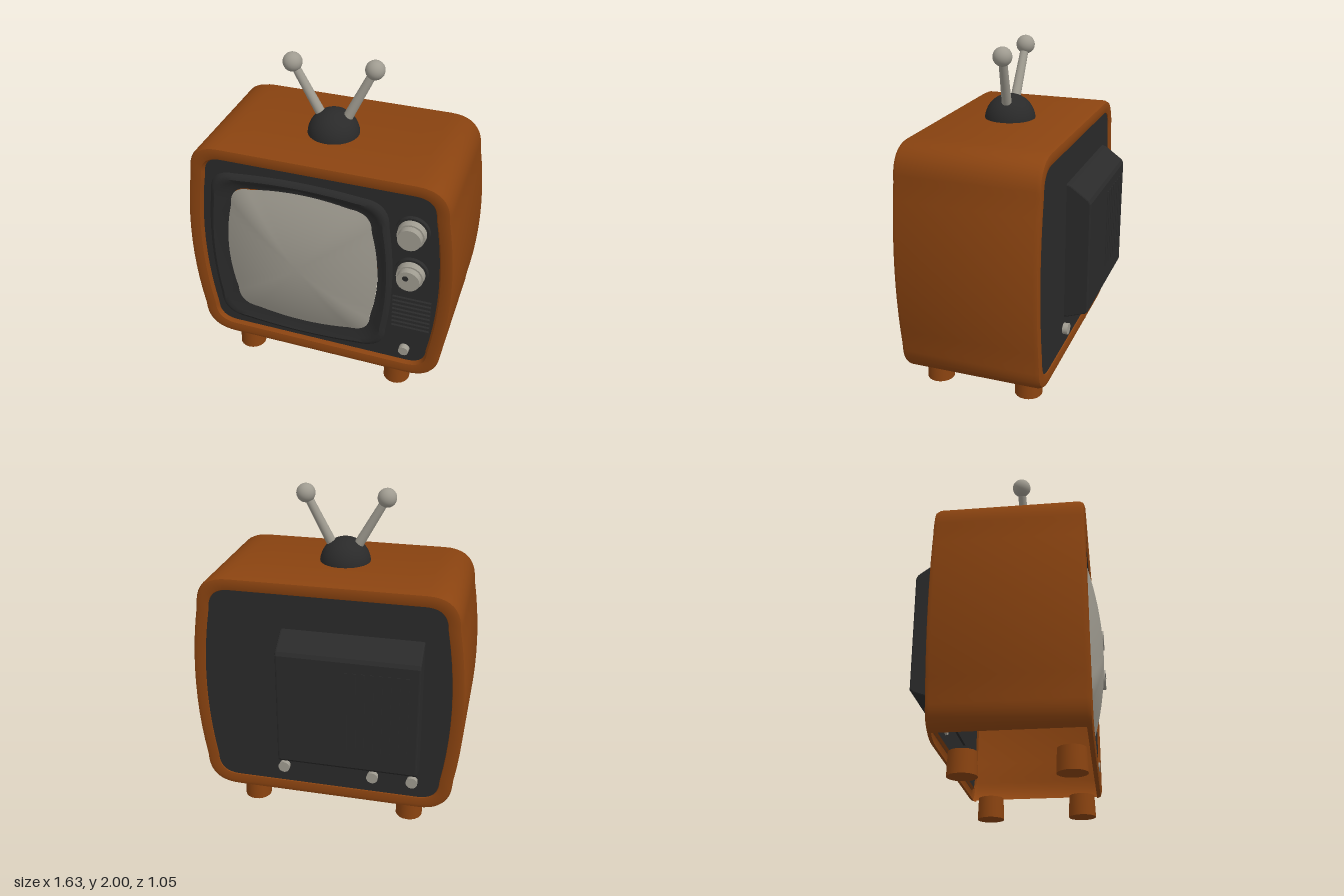
import * as THREE from 'three';
import { toCreasedNormals } from 'three/addons/utils/BufferGeometryUtils.js';

const mat = (name, color) => new THREE.MeshStandardMaterial({ name, color, side: THREE.DoubleSide });

// Rounded rectangle whose sides (bx) and top/bottom (by) bow outward
function outline(cx, cy, hw, hh, r, bx = 0, by = 0) {
  const s = new THREE.Shape();
  const x = hw - bx, y = hh - by; // corner position, before bowing
  s.moveTo(cx - x + r, cy - y);
  s.quadraticCurveTo(cx, cy - y - 2 * by, cx + x - r, cy - y);
  s.quadraticCurveTo(cx + x, cy - y, cx + x, cy - y + r);
  s.quadraticCurveTo(cx + x + 2 * bx, cy, cx + x, cy + y - r);
  s.quadraticCurveTo(cx + x, cy + y, cx + x - r, cy + y);
  s.quadraticCurveTo(cx, cy + y + 2 * by, cx - x + r, cy + y);
  s.quadraticCurveTo(cx - x, cy + y, cx - x, cy + y - r);
  s.quadraticCurveTo(cx - x - 2 * bx, cy, cx - x, cy - y + r);
  s.quadraticCurveTo(cx - x, cy - y, cx - x + r, cy - y);
  return s.getPoints(10);
}

// Skin between outlines [points, z]; skip(j, y) leaves out a quad
function loft(rings, skip = () => false, crease = 0.7) {
  const pos = [], idx = [], n = rings[0][0].length;
  rings.forEach(([pts, z]) => pts.forEach(p => pos.push(p.x, p.y, z)));
  for (let j = 0; j < rings.length - 1; j++) {
    for (let i = 0; i < n; i++) {
      const k = (i + 1) % n, a = j * n + i, b = j * n + k, c = b + n, d = a + n;
      if (skip(j, Math.max(pos[a * 3 + 1], pos[b * 3 + 1]))) continue;
      idx.push(a, b, c, a, c, d);
    }
  }
  const g = new THREE.BufferGeometry();
  g.setAttribute('position', new THREE.Float32BufferAttribute(pos, 3));
  g.setIndex(idx);
  return toCreasedNormals(g, crease);
}

export function createModel() {
  const root = new THREE.Group();
  root.name = 'television';
  const brown = mat('brown casing', 0x8a4310);
  const dark = mat('dark plastic', 0x2a2a2a);
  const grey = mat('warm grey', 0x9f9b90);

  const add = (name, geo, material, x = 0, y = 0, z = 0, parent = root) => {
    const m = new THREE.Mesh(geo, material);
    m.name = name;
    m.position.set(x, y, z);
    parent.add(m);
    return m;
  };

  // Cabinet shell with rounded front and back rims, open underneath
  const body = d => outline(0, 0.843, 0.815 - d, 0.698 - d, 0.2 - d * 0.9, 0.045);
  const cabinet = loft([
    [body(0.085), -0.36], [body(0.075), -0.38], [body(0.035), -0.39], [body(0.01), -0.382],
    [body(0), -0.36], [body(0), 0.43],
    [body(0.01), 0.452], [body(0.035), 0.46], [body(0.075), 0.45], [body(0.09), 0.42],
  ], (j, y) => j === 4 && y < 0.195);
  add('cabinet', cabinet, brown);

  // Front panel with an opening for the screen surround
  const surround = d => outline(-0.115, 0.83, 0.57 - d, 0.565 - d * 0.95, 0.16, 0.03, 0.02);
  const panel = new THREE.Shape(body(0.08));
  panel.holes.push(new THREE.Path(surround(0)));
  add('frontPanel', new THREE.ShapeGeometry(panel), dark, 0, 0, 0.425);

  // Raised screen surround and bulging screen
  const glass = s => outline(-0.1, 0.845, 0.468 * s, 0.475 * s, 0.13 * s, 0.04 * s, 0.03 * s);
  add('screenSurround', loft([
    [surround(0), 0.425], [surround(0.012), 0.444], [surround(0.03), 0.452],
    [surround(0.05), 0.444], [glass(1.04), 0.432], [glass(1), 0.428],
  ]), dark);
  const screenRings = [];
  for (let i = 0; i <= 10; i++) {
    const s = Math.max(1 - i / 10, 0.001);
    screenRings.push([glass(s), 0.435 + 0.085 * (1 - s * s)]);
  }
  add('screen', loft(screenRings, undefined, 1.2), grey);

  // Two tuning knobs with stepped caps
  const disc = (r, depth) => new THREE.CylinderGeometry(r * 0.95, r, depth, 32).rotateX(Math.PI / 2);
  [[0.56, 1.22], [0.567, 0.935]].forEach(([x, y], i) => {
    const knob = new THREE.Group();
    knob.name = i ? 'lowerKnob' : 'upperKnob';
    root.add(knob);
    add('knobSeat', disc(0.1, 0.03), dark, x, y, 0.43, knob);
    add('knobBase', disc(0.083, 0.045), grey, x, y, 0.462, knob);
    add('knobCap', disc(0.07, 0.045), grey, x, y, 0.4985, knob);
    if (i) add('knobMark', disc(0.018, 0.006), dark, x - 0.015, y + 0.02, 0.521, knob);
  });
  add('powerButton', disc(0.032, 0.04), grey, 0.55, 0.33, 0.44);

  // Speaker grille slats
  for (let i = 0; i < 8; i++) {
    add('grilleSlat', new THREE.BoxGeometry(0.23, 0.017, 0.02), dark, 0.578, 0.5 + i * 0.032, 0.43);
  }

  // Back panel and the tube housing with sloped top and bottom
  add('backPanel', new THREE.ShapeGeometry(new THREE.Shape(body(0.075))), dark, 0, 0, -0.375);
  const housing = new THREE.Shape([
    [0.36, 0.41], [0.4, 0.415], [0.505, 0.452], [0.52, 0.47],
    [0.52, 1.15], [0.508, 1.172], [0.4, 1.25], [0.36, 1.26],
  ].map(p => new THREE.Vector2(...p)));
  const housingGeo = new THREE.ExtrudeGeometry(housing, {
    depth: 0.81, bevelSize: 0.008, bevelThickness: 0.01, bevelSegments: 2, bevelOffset: -0.008,
  }).rotateY(Math.PI / 2).translate(-0.56, 0, 0);
  add('tubeHousing', housingGeo, dark);
  for (let i = 0; i < 8; i++) {
    add('ventRib', new THREE.BoxGeometry(0.02, 0.5, 0.008), dark, -0.5 + i * 0.05, 0.84, -0.521);
  }
  for (const x of [0.26, -0.29, -0.53]) {
    add('rearKnob', disc(0.035, 0.045), grey, x, 0.335, -0.385);
  }

  // Short tapered feet
  for (const x of [-0.5, 0.49]) {
    for (const z of [0.338, -0.232]) {
      add('foot', new THREE.CylinderGeometry(0.078, 0.083, 0.132, 20), brown, x, 0.066, z);
    }
  }

  // Aerial: dome, two rods and ball tips
  const dome = new THREE.SphereGeometry(0.152, 32, 16, 0, Math.PI * 2, 0, Math.PI / 2);
  add('aerialDome', dome, dark, -0.02, 1.53, 0.065);
  const aerials = [
    ['right', [-0.08, 1.61, 0.06], [-0.265, 1.935, 0.053]],
    ['left', [0.045, 1.61, 0.06], [0.207, 1.944, 0.027]],
  ];
  for (const [side, from, to] of aerials) {
    const a = new THREE.Vector3(...from), b = new THREE.Vector3(...to);
    const dir = b.clone().sub(a);
    const mid = a.clone().lerp(b, 0.5);
    const rod = add(side + 'AerialRod', new THREE.CylinderGeometry(0.024, 0.03, dir.length(), 16), grey, mid.x, mid.y, mid.z);
    rod.quaternion.setFromUnitVectors(new THREE.Vector3(0, 1, 0), dir.normalize());
    add(side + 'AerialBall', new THREE.SphereGeometry(0.056, 24, 16), grey, b.x, b.y, b.z);
  }
  return root;
}
